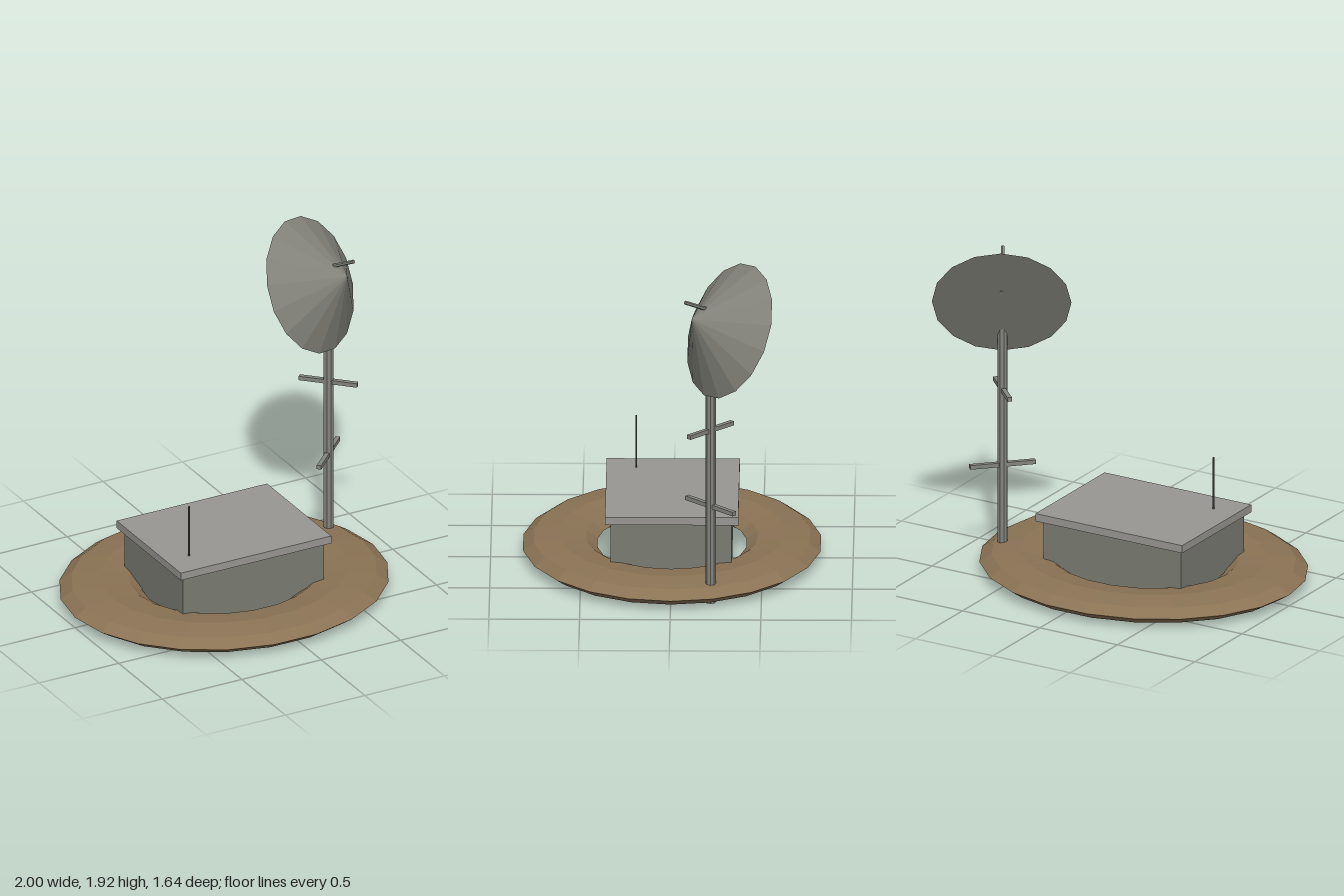
import * as THREE from 'three';

const mat = (name, color) => {
  const m = new THREE.MeshStandardMaterial({ color, flatShading: true });
  m.name = name;
  return m;
};

export function createModel() {
  const root = new THREE.Group();
  root.name = 'radarOutpost';
  const earth = mat('earth brown', 0x8b7355);
  const wall = mat('wall grey', 0x7a7c72);
  const roofing = mat('roof grey', 0x999792);
  const dishPaint = mat('dish grey', 0x82827a);
  const metal = mat('mast metal', 0x85857f);
  const dark = mat('dark metal', 0x555552);

  const add = (parent, name, geometry, material, x = 0, y = 0, z = 0) => {
    const mesh = new THREE.Mesh(geometry, material);
    mesh.name = name;
    mesh.position.set(x, y, z);
    parent.add(mesh);
    return mesh;
  };
  // Box given by its minimum and maximum corners
  const block = (name, a, b, material) =>
    add(root, name, new THREE.BoxGeometry(b[0] - a[0], b[1] - a[1], b[2] - a[2]), material,
      (a[0] + b[0]) / 2, (a[1] + b[1]) / 2, (a[2] + b[2]) / 2);

  // Flattened oval earth bank
  const bank = new THREE.TorusGeometry(0.622, 0.207, 8, 22);
  bank.rotateX(Math.PI / 2);
  bank.scale(1.131, 0.0625 / 0.207, 1);
  add(root, 'earthBank', bank, earth, -0.0625, 0.0625, 0);

  // Hut with overhanging slab roof and a whip antenna
  block('hutWalls', [-0.505, 0.002, -0.333], [0.382, 0.34, 0.335], wall);
  block('hutRoof', [-0.535, 0.34, -0.37], [0.412, 0.385, 0.365], roofing);
  add(root, 'whipAntenna', new THREE.CylinderGeometry(0.005, 0.005, 0.31, 6), dark, -0.392, 0.535, 0.2);

  // Mast with two crossed rungs
  const mx = 0.715, mz = -0.22;
  add(root, 'mast', new THREE.CylinderGeometry(0.029, 0.029, 1.5, 8), metal, mx, 0.75, mz);
  for (const [y, length, turn] of [[0.567, 0.372, 1], [1.011, 0.335, -1]]) {
    const rung = add(root, 'mastRung', new THREE.BoxGeometry(length, 0.024, 0.026), metal, mx, y, mz);
    rung.rotation.y = turn * Math.PI / 4;
  }

  // Dish: a closed cone facing up and to the front left, with a feed rod above its axis
  const dish = new THREE.Group();
  dish.name = 'dish';
  dish.position.set(0.657, 1.572, -0.325);
  dish.rotation.set(-25 * Math.PI / 180, Math.PI / 6, 0, 'YXZ');
  root.add(dish);
  const cone = new THREE.ConeGeometry(0.385, 0.265, 16);
  cone.rotateX(Math.PI / 2);
  add(dish, 'dishCone', cone, dishPaint, 0, 0, 0.1325);
  const rod = new THREE.CylinderGeometry(0.011, 0.011, 0.352, 6);
  rod.rotateX(Math.PI / 2);
  add(dish, 'feedRod', rod, metal, 0, 0.078, 0.172);

  return root;
}
